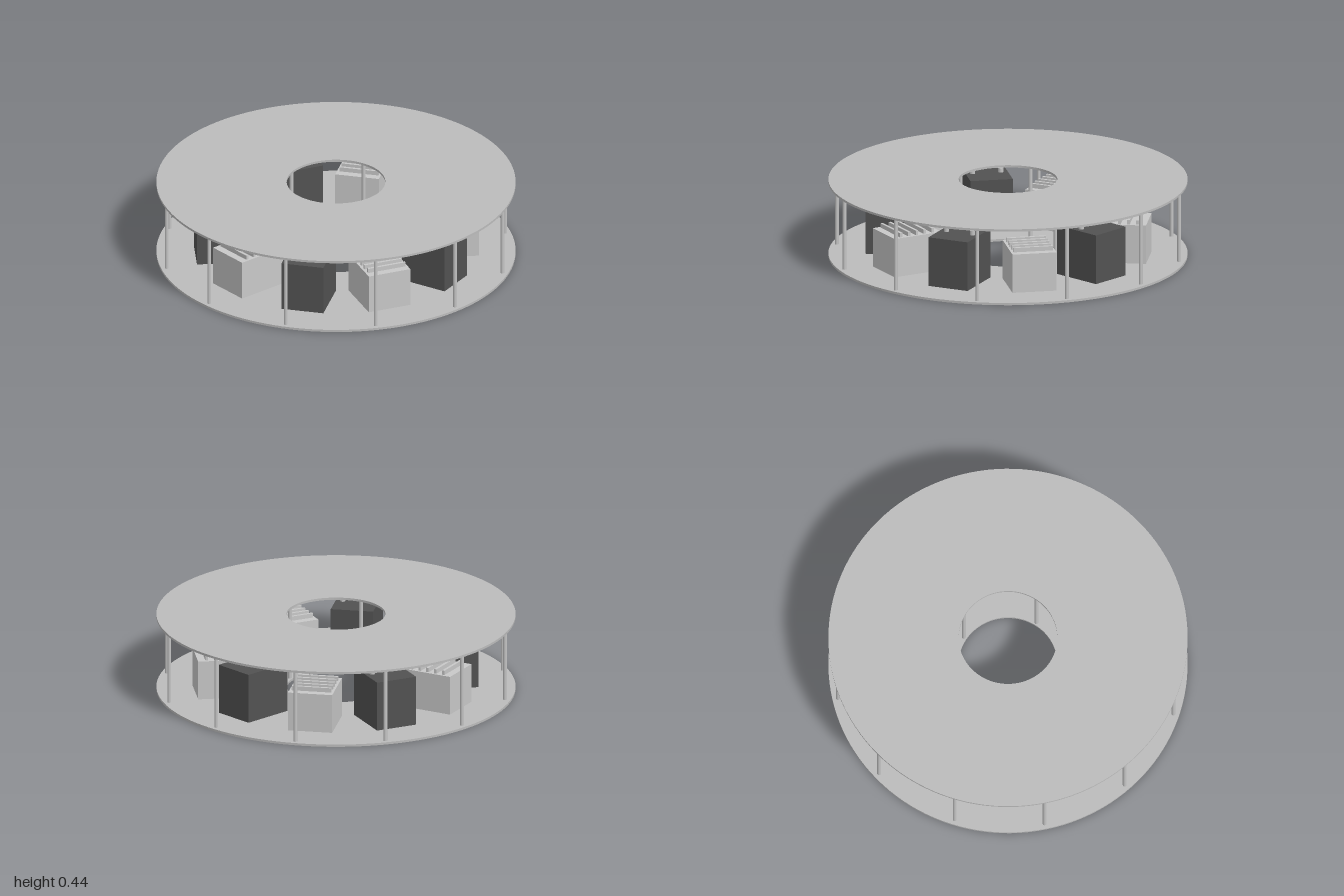
import * as THREE from 'three';

const material = (name, color) => {
  const m = new THREE.MeshStandardMaterial({ color });
  m.name = name;
  return m;
};

export function createModel() {
  const model = new THREE.Group();
  model.name = 'ringAssembly';
  const plateGrey = material('plate grey', 0xbcbcbc);
  const postSilver = material('post silver', 0xc4c4c4);
  const dark = material('dark casing', 0x525252);
  const light = material('light casing', 0xc8c8c8);
  const gold = material('gold', 0xd6b548);

  const H = 0.44, T = 0.013;

  const add = (parent, name, geometry, mat, x = 0, y = 0, z = 0) => {
    const mesh = new THREE.Mesh(geometry, mat);
    mesh.name = name;
    mesh.position.set(x, y, z);
    parent.add(mesh);
    return mesh;
  };

  // Flat annulus with its underside at y = 0
  const ring = (outer, inner, height) => {
    const shape = new THREE.Shape().absarc(0, 0, outer, 0, Math.PI * 2);
    shape.holes.push(new THREE.Path().absarc(0, 0, inner, 0, Math.PI * 2, true));
    return new THREE.ExtrudeGeometry(shape, { depth: height, bevelEnabled: false, curveSegments: 64 })
      .rotateX(-Math.PI / 2);
  };

  // Bottom and top plates, and the gold ring hung beneath the top one
  const plate = ring(1, 0.275, T);
  add(model, 'bottomPlate', plate, plateGrey);
  add(model, 'topPlate', plate, plateGrey, 0, H - T, 0);
  add(model, 'goldRing', ring(0.65, 0.615, 0.027), gold, 0, 0.4, 0);

  // Posts around the rim and around the central hole
  const post = new THREE.CylinderGeometry(0.011, 0.011, H - 2 * T, 16);
  const posts = (name, count, radius, offset) => {
    for (let i = 0; i < count; i++) {
      const a = offset + (i / count) * Math.PI * 2;
      add(model, name, post, postSilver, radius * Math.cos(a), H / 2, radius * Math.sin(a));
    }
  };
  posts('outerPost', 12, 0.968, Math.PI / 12);
  posts('innerPost', 4, 0.292, 0);

  // Alternating dark and light modules, each facing outwards along local x
  const darkBox = new THREE.BoxGeometry(0.3, 0.295 - T, 0.24);
  const terminal = new THREE.CylinderGeometry(0.015, 0.015, 0.025, 16);
  const lightBox = new THREE.BoxGeometry(0.3, 0.235 - T, 0.25);
  const fin = new THREE.BoxGeometry(0.015, 0.025, 0.224);

  for (let i = 0; i < 10; i++) {
    const unit = new THREE.Group();
    unit.rotation.y = -i * Math.PI / 5;
    model.add(unit);
    if (i % 2 === 0) {
      unit.name = 'darkModule';
      add(unit, 'darkCasing', darkBox, dark, 0.635, (0.295 + T) / 2, 0);
      for (const s of [-1, 1]) add(unit, 'terminal', terminal, postSilver, 0.635, 0.3075, s * 0.08);
    } else {
      unit.name = 'lightModule';
      add(unit, 'lightCasing', lightBox, light, 0.64, (0.235 + T) / 2, 0);
      for (let k = -2; k <= 2; k++) add(unit, 'coolingFin', fin, light, 0.64 + k * 0.05, 0.2475, 0);
    }
  }
  return model;
}
